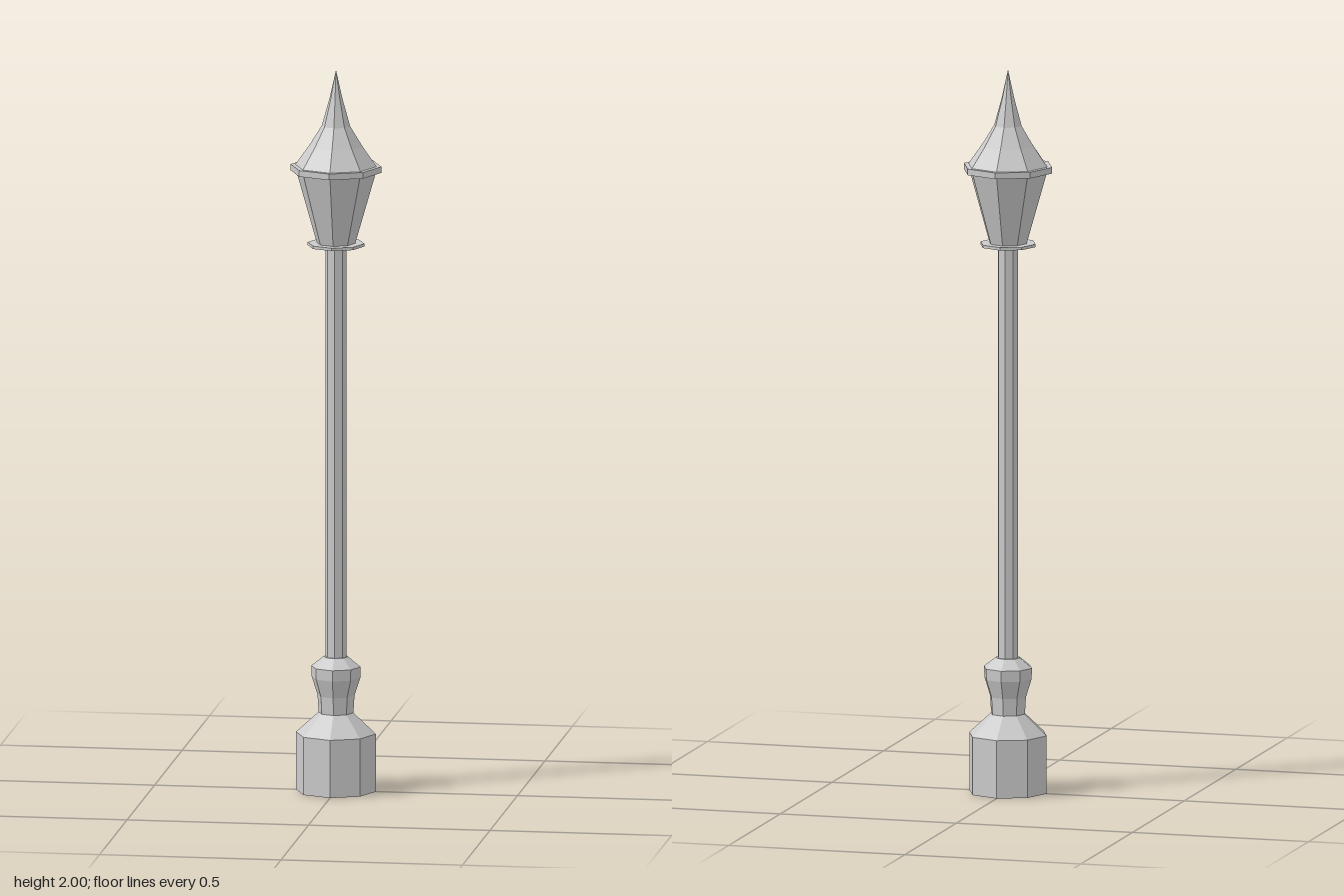
import * as THREE from 'three';

const SIDES = 8;

export function createModel() {
  const group = new THREE.Group();
  group.name = 'streetLamp';
  const material = new THREE.MeshStandardMaterial({
    color: 0xcccccc, flatShading: true, side: THREE.DoubleSide,
  });

  // Octagonal turned part from [radius, height] pairs, bottom to top
  const turned = (name, profile) => {
    const points = profile.map(([r, y]) => new THREE.Vector2(r, y));
    const mesh = new THREE.Mesh(new THREE.LatheGeometry(points, SIDES), material);
    mesh.name = name;
    group.add(mesh);
  };

  // Pedestal, open underneath, with a waisted neck
  turned('pedestal', [
    [0.11, 0], [0.11, 0.16], [0.048, 0.217], [0.051, 0.265],
    [0.067, 0.315], [0.068, 0.345], [0.034, 0.372], [0.029, 0.372],
  ]);

  // Slender post
  turned('post', [[0.029, 0.37], [0.029, 1.515]]);

  // Thin plate carrying the lantern
  turned('lanternPlate', [[0, 1.512], [0.078, 1.512], [0.078, 1.52], [0, 1.52]]);

  // Flared lantern body
  turned('lanternGlass', [[0.053, 1.52], [0.11, 1.718]]);

  // Rim below the roof
  turned('roofRim', [[0, 1.718], [0.125, 1.718], [0.125, 1.735], [0.11, 1.735]]);

  // Concave spire roof
  turned('roof', [[0.112, 1.735], [0.073, 1.79], [0.039, 1.845], [0.018, 1.92], [0, 2]]);

  return group;
}
